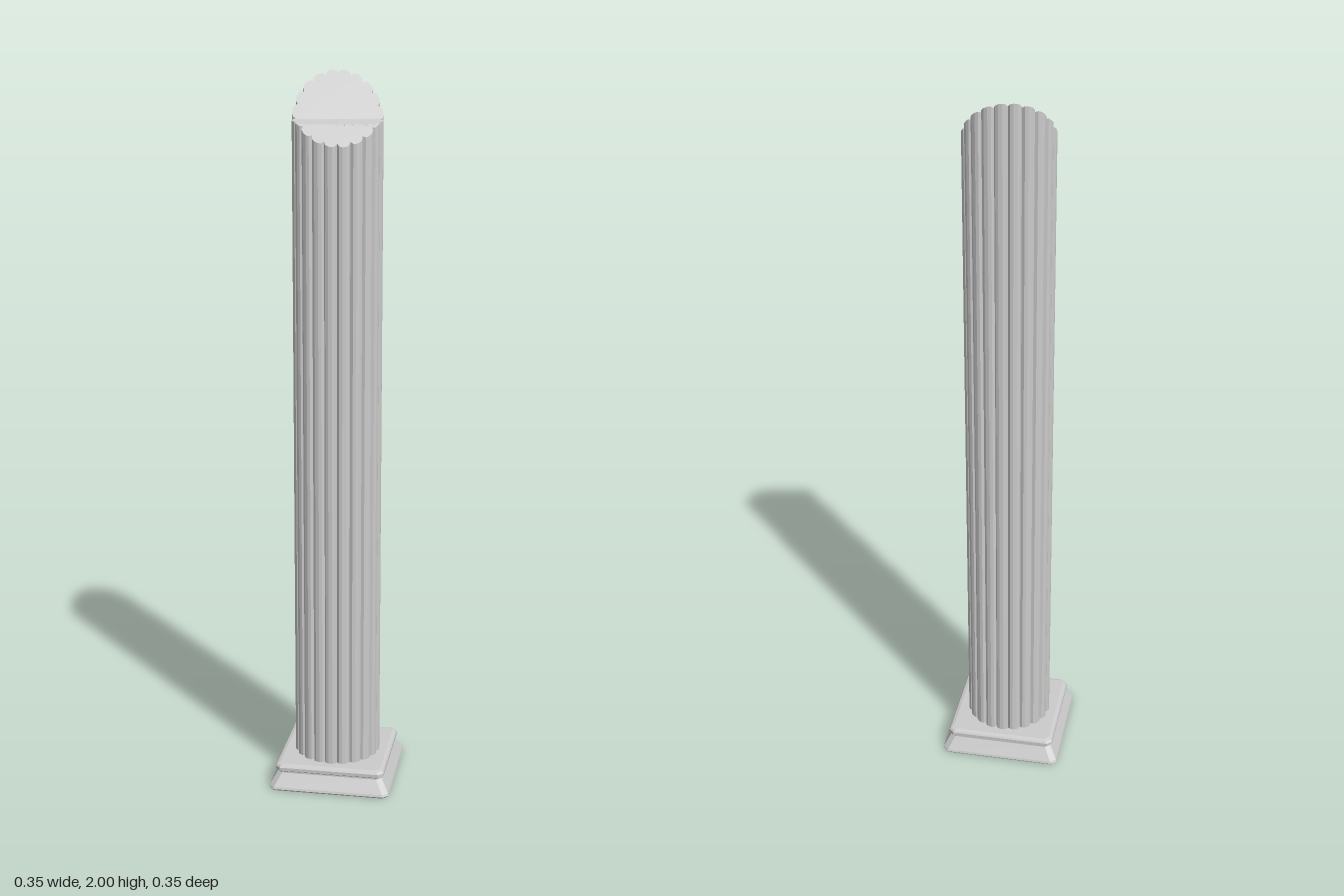
import * as THREE from 'three';

const material = new THREE.MeshStandardMaterial({ color: 0xcccccc, flatShading: true });

// Skin a list of equally long closed loops (counter-clockwise from above).
function loft(name, loops) {
  const n = loops[0].length, index = [];
  for (let k = 0; k < loops.length - 1; k++) {
    for (let i = 0; i < n; i++) {
      const a = k * n + i, b = k * n + (i + 1) % n;
      index.push(a, b, b + n, a, b + n, a + n);
    }
  }
  const geometry = new THREE.BufferGeometry();
  geometry.setAttribute('position', new THREE.Float32BufferAttribute(loops.flat(2), 3));
  geometry.setIndex(index);
  const flat = geometry.toNonIndexed();
  flat.computeVertexNormals();
  const mesh = new THREE.Mesh(flat, material);
  mesh.name = name;
  return mesh;
}

// Square loop with cut corners.
function cutSquare(half, cut, y) {
  const loop = [], c = half - cut;
  for (let q = 0; q < 4; q++) {
    const cos = Math.round(Math.cos(q * Math.PI / 2)), sin = Math.round(Math.sin(q * Math.PI / 2));
    for (const [u, v] of [[half, c], [c, half]]) {
      loop.push([u * cos - v * sin, y, -(u * sin + v * cos)]);
    }
  }
  return loop;
}

// Height of the broken top: a steep slope behind a slanted crease, rounding off in front.
function breakHeight(x, z) {
  const t = z + 0.18 * x;
  if (t < 0) return 1.88 - t;
  return t < 0.06 ? 1.88 - 0.15 * t : 1.871 - 0.85 * (t - 0.06);
}

// Reeded outline of the shaft, scaled, at a height given by a function.
function reededLoop(scale, height) {
  const reeds = 20, radii = [0.112, 0.1195, 0.1225, 0.1225, 0.1195], at = [0, 0.14, 0.36, 0.64, 0.86];
  const loop = [];
  for (let i = 0; i < reeds; i++) {
    radii.forEach((r, j) => {
      const angle = (i + at[j] - 0.5) / reeds * Math.PI * 2;
      const x = r * scale * Math.cos(angle), z = -r * scale * Math.sin(angle);
      loop.push([x, height(x, z), z]);
    });
  }
  return loop;
}

export function createModel() {
  const model = new THREE.Group();
  model.name = 'brokenColumn';

  // Base: sloping plinth, recess and top moulding as [half width, corner cut, height]
  const profile = [
    [0, 0, 0], [0.17, 0.014, 0], [0.173, 0.015, 0.004], [0.171, 0.015, 0.01],
    [0.15, 0.014, 0.047], [0.15, 0.014, 0.051], [0.156, 0.014, 0.055],
    [0.156, 0.014, 0.064], [0.153, 0.014, 0.069], [0.144, 0.012, 0.072], [0, 0, 0.072],
  ];
  model.add(loft('base', profile.map((p) => cutSquare(...p))));

  // Shaft
  model.add(loft('shaft', [reededLoop(1, () => 0.07), reededLoop(1, breakHeight)]));

  // Broken top face, in rings towards the centre
  const rings = [];
  for (let k = 16; k >= 0; k--) rings.push(reededLoop(k / 16, breakHeight));
  model.add(loft('brokenTop', rings));

  return model;
}
